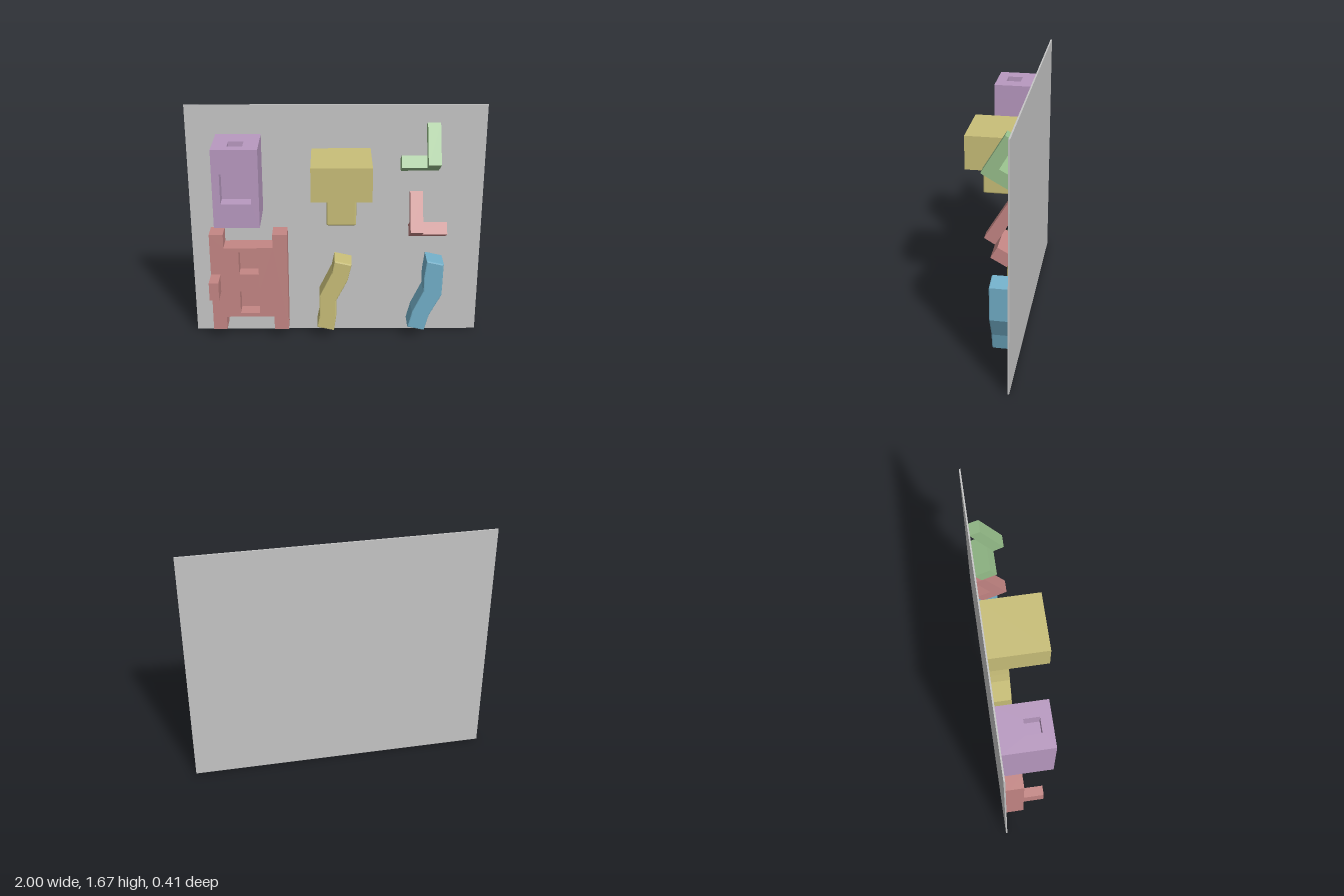
import * as THREE from 'three';
import { RoundedBoxGeometry } from 'three/addons/geometries/RoundedBoxGeometry.js';

const WALL = -0.2; // plane on which all the pieces sit

function material(name, color) {
  const m = new THREE.MeshStandardMaterial({ color });
  m.name = name;
  return m;
}

// Box given by its limits
function boxGeo(x0, x1, y0, y1, z0, z1, radius = 0) {
  const s = [x1 - x0, y1 - y0, z1 - z0];
  const g = radius ? new RoundedBoxGeometry(...s, 2, radius) : new THREE.BoxGeometry(...s);
  return g.translate((x0 + x1) / 2, (y0 + y1) / 2, (z0 + z1) / 2);
}

const polygon = (pts) => new THREE.Shape(pts.map((p) => new THREE.Vector2(...p)));
const rect = (x0, x1, y0, y1) => [[x0, y0], [x1, y0], [x1, y1], [x0, y1]];

// Outline with optional rectangular openings, extruded along z
function slabGeo(outline, depth, openings = []) {
  const shape = polygon(outline);
  openings.forEach((o) => shape.holes.push(polygon(rect(...o))));
  return new THREE.ExtrudeGeometry(shape, { depth, bevelEnabled: false });
}

export function createModel() {
  const model = new THREE.Group();
  model.name = 'partsBoard';

  const grey = material('panelGrey', 0xc6c6c6);
  const purple = material('mutedPurple', 0xb899c0);
  const yellow = material('mustardYellow', 0xc8be78);
  const red = material('dustyRed', 0xc48684);
  const green = material('softGreen', 0x98c08c);
  const blue = material('steelBlue', 0x72afc8);

  const group = (name) => {
    const g = new THREE.Group();
    g.name = name;
    model.add(g);
    return g;
  };
  const add = (parent, name, geometry, mat) => {
    const mesh = new THREE.Mesh(geometry, mat);
    mesh.name = name;
    parent.add(mesh);
  };

  add(model, 'backPanel', boxGeo(-1, 1, 0, 1.67, -0.205, -0.195), grey);

  // Tall block with a window recess in front and a socket in the top
  const tall = group('tallBlock');
  add(tall, 'blockRear', boxGeo(-0.8, -0.5, 0.935, 1.37, WALL, 0.035), purple);
  add(tall, 'blockFront',
    slabGeo(rect(-0.8, -0.5, 0.935, 1.37), 0.1, [[-0.75, -0.55, 1.1, 1.305]]).translate(0, 0, 0.035), purple);
  add(tall, 'blockTop',
    slabGeo(rect(-0.8, -0.5, -0.135, 0.2), 0.1, [[-0.7, -0.6, -0.065, 0.035]])
      .rotateX(-Math.PI / 2).translate(0, 1.37, 0), purple);

  // Wide head on a narrow stem
  const head = group('headBlock');
  add(head, 'head', boxGeo(-0.165, 0.23, 1.14, 1.37, WALL, 0.205), yellow);
  add(head, 'stem', boxGeo(-0.065, 0.13, 0.935, 1.17, -0.09, 0.105, 0.012), yellow);

  // H-shaped body with two recesses and a side knob
  const body = group('bodyFrame');
  const bodyOutline = [
    [-0.865, 0.07], [-0.77, 0.07], [-0.77, 0.17], [-0.435, 0.17], [-0.435, 0.07], [-0.335, 0.07],
    [-0.335, 0.8], [-0.435, 0.8], [-0.435, 0.7], [-0.77, 0.7], [-0.77, 0.8], [-0.865, 0.8],
  ];
  const recesses = [[-0.67, -0.535, 0.2, 0.37], [-0.67, -0.535, 0.5, 0.67]];
  add(body, 'bodyRear', slabGeo(bodyOutline, 0.04).translate(0, 0, WALL), red);
  add(body, 'bodyFront', slabGeo(bodyOutline, 0.1, recesses).translate(0, 0, -0.16), red);
  add(body, 'knob', boxGeo(-0.865, -0.8, 0.37, 0.5, -0.07, 0.075), red);

  // Bent limbs with slightly softened edges
  const limb = (name, outline, mat) => {
    const b = 0.008;
    const g = new THREE.ExtrudeGeometry(polygon(outline), {
      depth: 0.165 - 2 * b, bevelThickness: b, bevelSize: b, bevelOffset: -b, bevelSegments: 2,
    });
    add(model, name, g.translate(0, 0, WALL + b), mat);
  };
  limb('bentArm', [
    [-0.016, 0.07], [0, 0.187], [0, 0.305], [0.078, 0.46], [0.106, 0.583], [-0.012, 0.61],
    [-0.03, 0.52], [-0.118, 0.337], [-0.118, 0.187], [-0.134, 0.097],
  ], yellow);
  limb('bentLeg', [
    [0.618, 0.07], [0.65, 0.19], [0.732, 0.348], [0.738, 0.583], [0.62, 0.61],
    [0.604, 0.48], [0.604, 0.374], [0.53, 0.214], [0.501, 0.097],
  ], blue);

  // Tilted brackets: a leaning post and a long foot; profiles are (-z, y) swept along x
  const sweep = (pts, x0, x1, y) => slabGeo(pts, x1 - x0).rotateY(Math.PI / 2).translate(x0, y, 0);
  const post = [[-0.018, 0.575], [0.05, 0.534], [0.093, 0.606], [0.197, 0.787], [0.128, 0.818]];
  const foot = [[0.05, 0.534], [0.15, 0.478], [0.197, 0.549], [0.093, 0.606]];
  const bracket = (name, footX, postX, y, mat) => {
    const g = group(name);
    add(g, 'post', sweep(post, ...postX, y), mat);
    add(g, 'foot', sweep(foot, ...footX, y), mat);
  };
  bracket('upperBracket', [0.432, 0.685], [0.6, 0.685], 0.748, green);
  bracket('lowerBracket', [0.498, 0.752], [0.498, 0.583], 0.27, red);

  return model;
}
